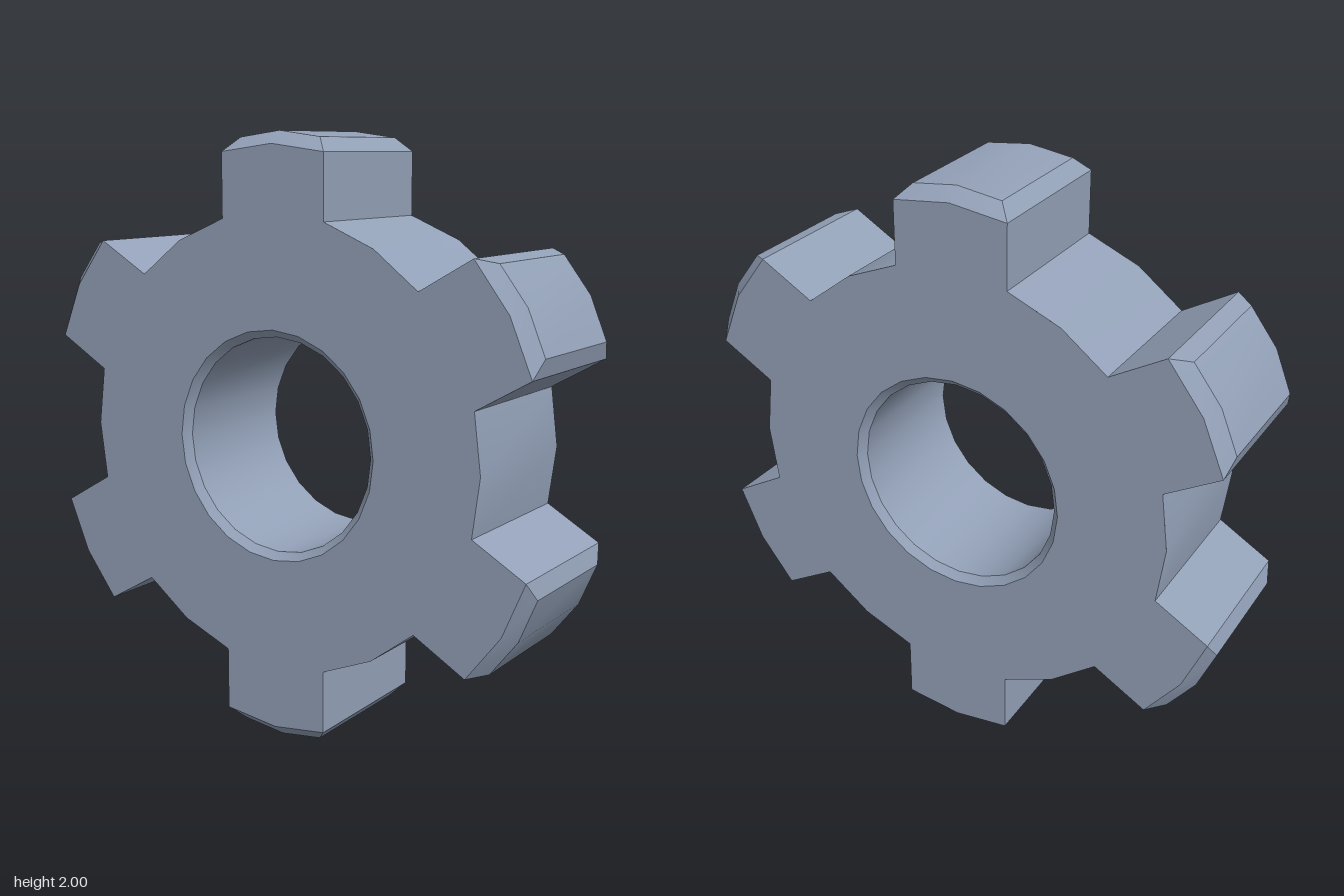
import * as THREE from 'three';
import { mergeGeometries, toCreasedNormals } from 'three/addons/utils/BufferGeometryUtils.js';

const TEETH = 6, HALF = 0.265, TOP_HALF = 0.22;   // half depths of body and tooth tops
const BORE = 0.355, BORE_RIM = 0.38, BORE_SIDES = 24;
const CREASE = 0.5;

// Tooth pointing up, from its right side to its left
const root = [[0.195, 0.725], [-0.195, 0.725]];
const low = [[0.195, 0.935], [0, 0.96], [-0.195, 0.935]];
const high = [[0.152, 0.98], [0, 1], [-0.152, 0.98]];
const gapMiddle = [-0.375, 0.65];

// Non-indexed geometry from quads with counterclockwise corners
function quads(list) {
  const pos = list.flatMap(([a, b, c, d]) => [a, b, c, a, c, d].flat());
  const geo = new THREE.BufferGeometry();
  geo.setAttribute('position', new THREE.Float32BufferAttribute(pos, 3));
  geo.computeVertexNormals();
  return geo;
}

const at = (p, z) => [p[0], p[1], z];
const wall = (a, b, z) => [at(a, z), at(a, -z), at(b, -z), at(b, z)];

function circle(r) {
  return Array.from({ length: BORE_SIDES }, (_, i) => {
    const a = (i / BORE_SIDES) * Math.PI * 2;
    return new THREE.Vector2(r * Math.cos(a), r * Math.sin(a));
  });
}

// Flat faces and the side walls of the gear, without the tooth tops
function bodyGeometry() {
  const outline = [], walls = [];
  const local = [root[0], ...low, root[1], gapMiddle];
  for (let k = 0; k < TEETH; k++) {
    const turn = (k / TEETH) * Math.PI * 2;
    for (const [x, y] of local) {
      outline.push(new THREE.Vector2(x, y).rotateAround(new THREE.Vector2(), turn));
    }
  }
  outline.forEach((p, i) => {
    const part = i % local.length;
    if (part === 1 || part === 2) return;   // tooth top, closed by its cap
    walls.push(wall(p.toArray(), outline[(i + 1) % outline.length].toArray(), HALF));
  });

  const shape = new THREE.Shape(outline);
  shape.holes.push(new THREE.Path(circle(BORE_RIM)));
  const front = new THREE.ShapeGeometry(shape).toNonIndexed();
  front.deleteAttribute('uv');
  const back = front.clone().rotateY(Math.PI);   // the outline is symmetric
  front.translate(0, 0, HALF);
  back.translate(0, 0, -HALF);
  return toCreasedNormals(mergeGeometries([front, back, quads(walls)]), CREASE);
}

// Chamfered, slightly crowned top of one tooth
function capGeometry() {
  const list = [];
  for (let i = 0; i < 2; i++) {
    const [a, b, A, B] = [low[i], low[i + 1], high[i], high[i + 1]];
    list.push(wall(A, B, TOP_HALF));
    list.push([at(a, HALF), at(A, TOP_HALF), at(B, TOP_HALF), at(b, HALF)]);
    list.push([at(b, -HALF), at(B, -TOP_HALF), at(A, -TOP_HALF), at(a, -HALF)]);
  }
  list.push([at(low[0], HALF), at(low[0], -HALF), at(high[0], -TOP_HALF), at(high[0], TOP_HALF)]);
  list.push([at(low[2], -HALF), at(low[2], HALF), at(high[2], TOP_HALF), at(high[2], -TOP_HALF)]);
  return toCreasedNormals(quads(list), CREASE);
}

// Bore with a small chamfer at both ends, facing inwards
function boreGeometry() {
  const c = HALF - (BORE_RIM - BORE);
  const profile = [[BORE_RIM, HALF], [BORE, c], [BORE, -c], [BORE_RIM, -HALF]]
    .map(([r, y]) => new THREE.Vector2(r, y));
  const geo = new THREE.LatheGeometry(profile, BORE_SIDES).rotateX(Math.PI / 2);
  return toCreasedNormals(geo, CREASE);
}

export function createModel() {
  const material = new THREE.MeshStandardMaterial({ color: 0x93a1b8 });   // blue-grey steel
  const model = new THREE.Group();
  model.name = 'gear';

  const add = (name, geometry) => {
    const mesh = new THREE.Mesh(geometry, material);
    mesh.name = name;
    mesh.position.y = 1;
    model.add(mesh);
    return mesh;
  };

  add('gearBody', bodyGeometry());
  add('bore', boreGeometry());
  const cap = capGeometry();
  for (let k = 0; k < TEETH; k++) {
    add(`toothTop${k + 1}`, cap).rotation.z = (k / TEETH) * Math.PI * 2;
  }
  return model;
}
